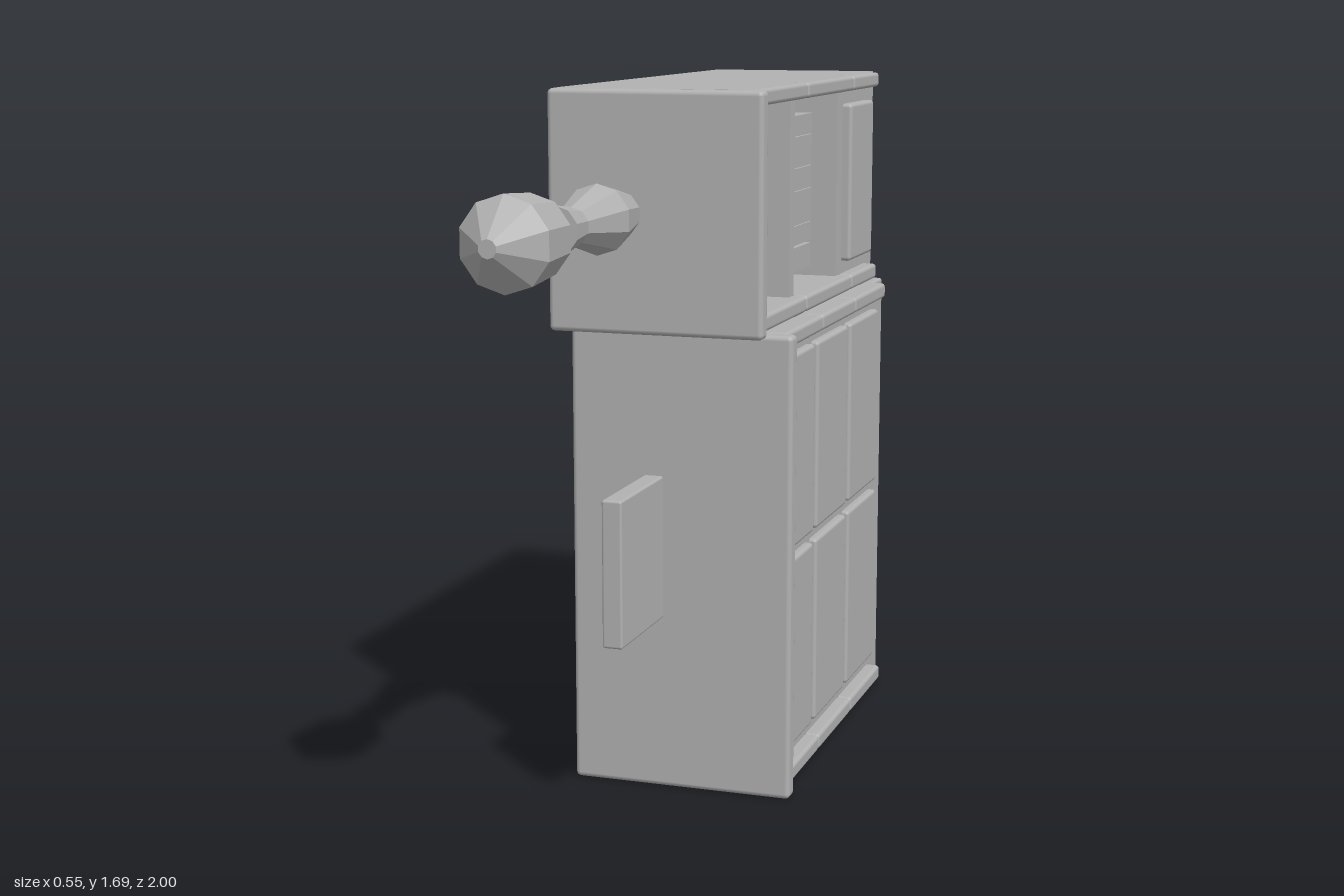
import * as THREE from 'three';
import { RoundedBoxGeometry } from 'three/addons/geometries/RoundedBoxGeometry.js';

const grey = new THREE.MeshStandardMaterial({ color: 0xb2b2b2 });
grey.name = 'plain grey';
const facetGrey = grey.clone(); // same colour, faceted shading
facetGrey.flatShading = true;

export function createModel() {
  const root = new THREE.Group();
  root.name = 'cabinet';

  // Box given by its extents; a radius rounds the edges
  const box = (name, x0, x1, y0, y1, z0, z1, r = 0) => {
    const s = [x1 - x0, y1 - y0, z1 - z0];
    const g = r ? new RoundedBoxGeometry(...s, 2, r) : new THREE.BoxGeometry(...s);
    const m = new THREE.Mesh(g, grey);
    m.name = name;
    m.position.set((x0 + x1) / 2, (y0 + y1) / 2, (z0 + z1) / 2);
    root.add(m);
  };

  // Lower cabinet with front plate and blade handle
  box('lowerBody', -0.275, 0.21, 0, 1.122, -1, 0.08, 0.008);
  box('lowerFrontPlate', -0.275, 0.272, 0, 1.122, 0.073, 0.12, 0.012);
  box('frontBlade', -0.094, -0.045, 0.425, 0.773, 0.11, 0.405, 0.006);

  // Three columns of rails and raised panels on the side
  [[-0.247, 0.07], [-0.568, -0.25], [-0.892, -0.571]].forEach(([z0, z1]) => {
    box('lowerBottomRail', 0.195, 0.246, 0.002, 0.042, z0, z1, 0.01);
    box('lowerTopRail', 0.195, 0.246, 1.082, 1.122, z0, z1, 0.01);
    box('lowerPanel', 0.195, 0.23, 0.075, 0.55, z0 + 0.012, z1 - 0.015, 0.01);
    box('upperPanel', 0.195, 0.23, 0.577, 1.052, z0 + 0.012, z1 - 0.015, 0.01);
  });

  // Upper cabinet: back core, floor, ceiling, dividers and solid rear bay
  box('upperCore', -0.275, 0.055, 1.13, 1.686, -1, 0.215, 0.008);
  box('upperFloor', 0.03, 0.175, 1.13, 1.17, -1, 0.215);
  box('upperCeiling', 0.03, 0.175, 1.65, 1.686, -1, 0.215);
  box('shelfDivider', 0.03, 0.175, 1.16, 1.66, -0.225, -0.184);
  box('rearBay', 0.03, 0.175, 1.13, 1.686, -1, -0.622);
  box('upperFrontPlate', -0.275, 0.24, 1.13, 1.686, 0.212, 0.258, 0.012);
  box('rearDoor', 0.16, 0.2, 1.203, 1.613, -0.915, -0.68, 0.01);
  [[-0.222, 0.21], [-0.66, -0.227], [-0.93, -0.665]].forEach(([z0, z1]) => {
    box('upperBottomRail', 0.165, 0.21, 1.13, 1.17, z0, z1, 0.01);
    box('upperTopRail', 0.165, 0.21, 1.648, 1.686, z0, z1, 0.01);
  });

  // Stacked slabs of uneven length in the two open bays: y0, y1, front z
  const slabs = [
    [1.195, 1.257, 0.122], [1.263, 1.312, 0.075], [1.314, 1.4, 0.14],
    [1.402, 1.458, 0.1], [1.46, 1.538, 0.057], [1.54, 1.592, 0.132],
  ];
  for (const shift of [0, -0.438])
    for (const [y0, y1, z1] of slabs)
      box('stackedSlab', 0.04, 0.108, y0, y1, -0.184 + shift, z1 + shift);

  // Turned spindle and bulb on the front, faceted
  const turned = (name, profile) => {
    const g = new THREE.LatheGeometry(profile.map(([r, z]) => new THREE.Vector2(r, z)), 10);
    const m = new THREE.Mesh(g, facetGrey);
    m.name = name;
    m.rotation.x = Math.PI / 2;
    m.position.set(-0.102, 1.406, 0);
    root.add(m);
  };
  turned('spindle', [[0, 0.24], [0.05, 0.24], [0.08, 0.395], [0.042, 0.55], [0.055, 0.648], [0, 0.648]]);
  turned('bulb', [[0, 0.64], [0.012, 0.648], [0.092, 0.775], [0.102, 0.915], [0.02, 1], [0, 1]]);

  return root;
}
